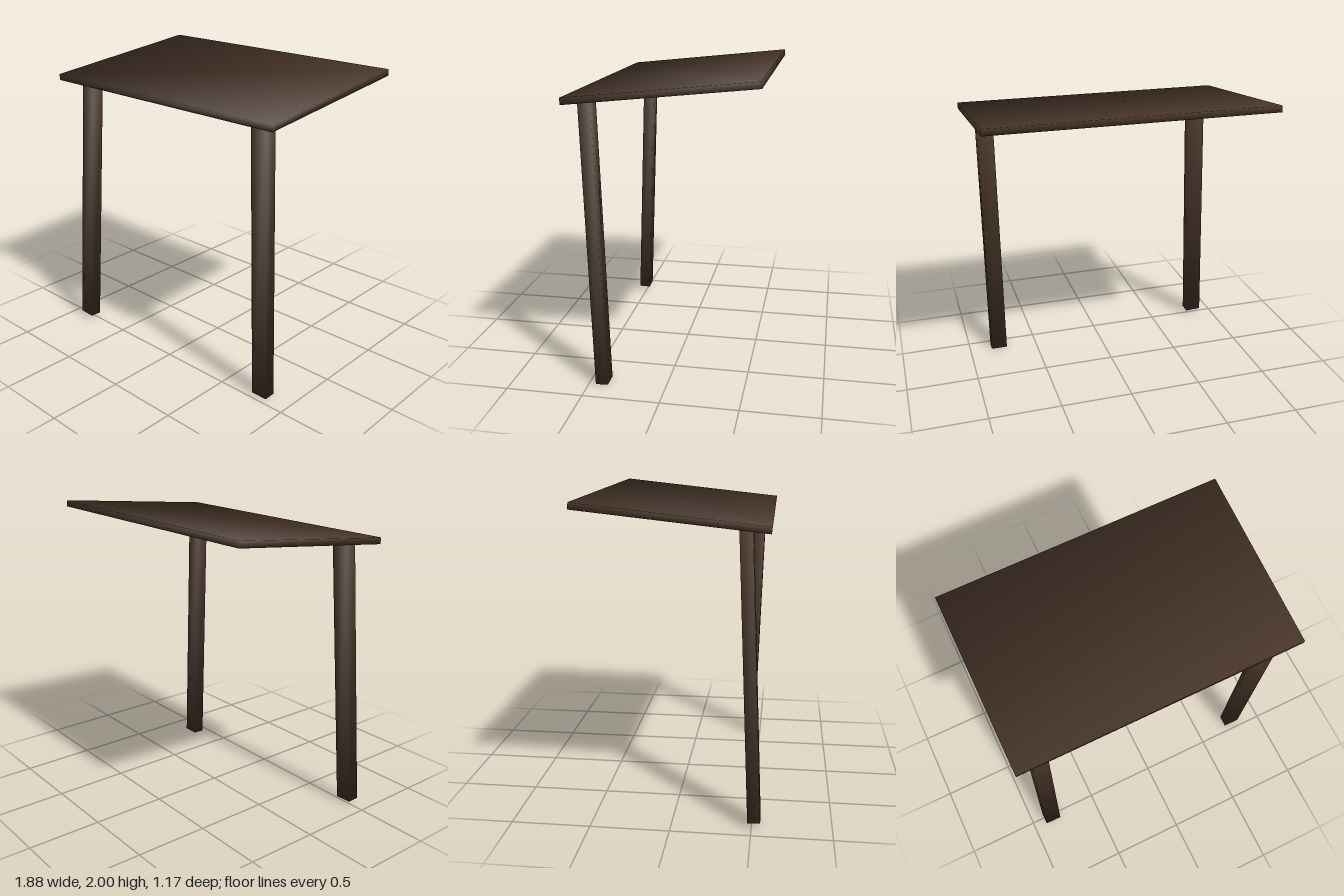
import * as THREE from 'three';
import { mergeVertices } from 'three/addons/utils/BufferGeometryUtils.js';

// Box whose normals are averaged at the corners, for soft shading
function softBox(w, h, d) {
  let g = new THREE.BoxGeometry(w, h, d);
  g.deleteAttribute('normal');
  g.deleteAttribute('uv');
  g = mergeVertices(g);
  const p = g.attributes.position;
  const normals = [];
  for (let i = 0; i < p.count; i++) {
    const n = new THREE.Vector3(Math.sign(p.getX(i)), Math.sign(p.getY(i)), Math.sign(p.getZ(i))).normalize();
    normals.push(n.x, n.y, n.z);
  }
  g.setAttribute('normal', new THREE.Float32BufferAttribute(normals, 3));
  return g;
}

export function createModel() {
  const group = new THREE.Group();
  const darkWood = new THREE.MeshStandardMaterial({ color: 0x4a372b });
  darkWood.name = 'darkWood';

  // Slanted board, rising towards the back
  const board = new THREE.Mesh(softBox(1.88, 0.042, 1.172), darkWood);
  board.name = 'board';
  board.position.set(0, 1.9175, 0);
  board.rotation.x = 0.105;
  group.add(board);

  // Post running from its foot to its head
  function addPost(name, foot, head) {
    const a = new THREE.Vector3(...foot);
    const b = new THREE.Vector3(...head);
    const post = new THREE.Mesh(softBox(0.115, a.distanceTo(b), 0.08), darkWood);
    post.name = name;
    post.position.copy(a).add(b).multiplyScalar(0.5);
    post.quaternion.setFromUnitVectors(new THREE.Vector3(0, 1, 0), b.clone().sub(a).normalize());
    group.add(post);
  }

  // Two crooked front posts
  addPost('leftPost', [0.783, 0.002, 0.415], [0.783, 1.86, 0.47]);
  addPost('rightPost', [-0.849, 0.033, 0.515], [-0.768, 1.86, 0.432]);

  return group;
}
